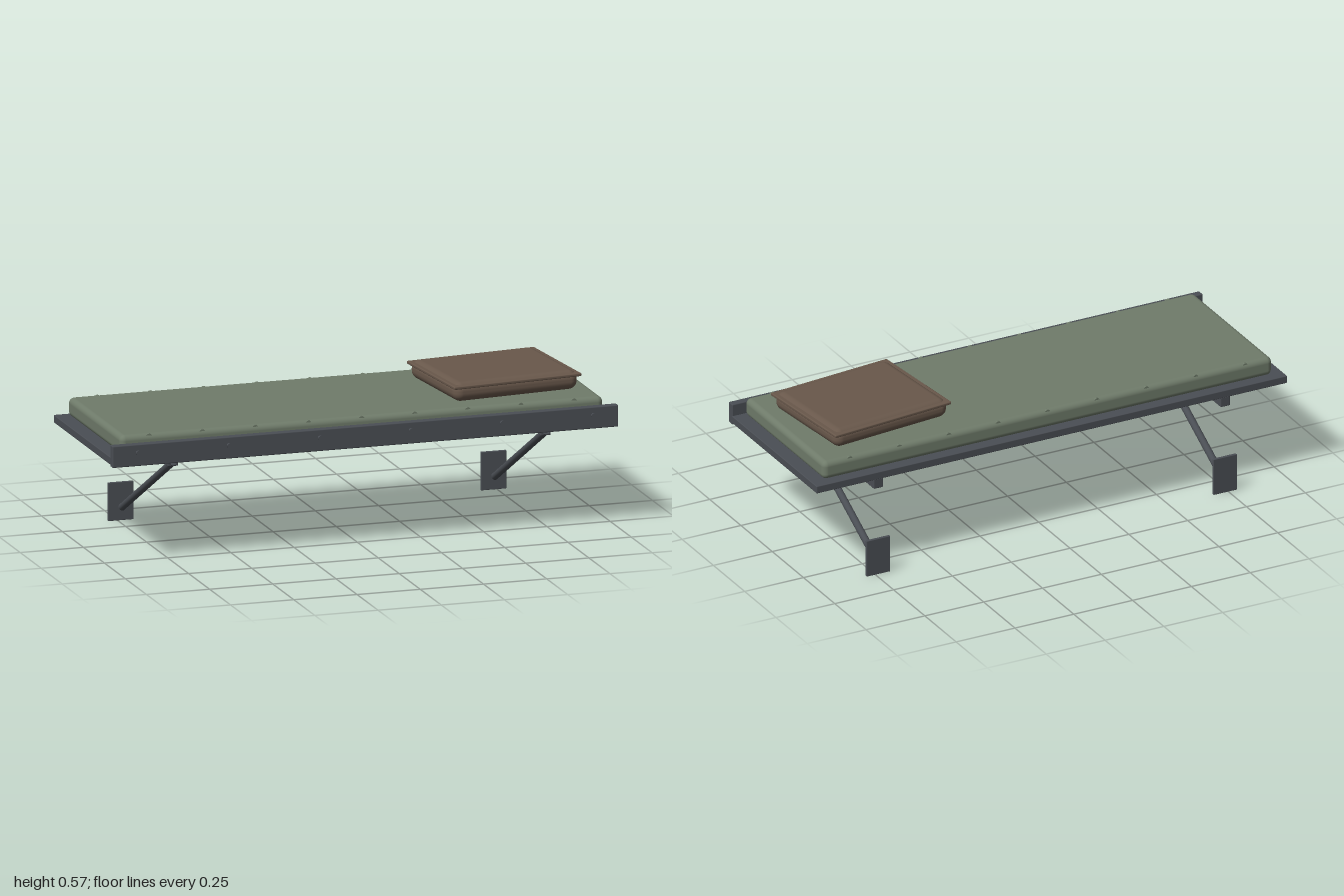
import * as THREE from 'three';
import { RoundedBoxGeometry } from 'three/addons/geometries/RoundedBoxGeometry.js';

function material(name, color) {
  const m = new THREE.MeshStandardMaterial({ color });
  m.name = name;
  return m;
}

export function createModel() {
  const steel = material('dark steel', 0x4a4e54);
  const fabric = material('green fabric', 0x6f7b6a);
  const brown = material('brown cloth', 0x69584b);

  const group = new THREE.Group();
  group.name = 'wallBunk';

  function add(name, geometry, mat, x, y, z, parent = group) {
    const mesh = new THREE.Mesh(geometry, mat);
    mesh.name = name;
    mesh.position.set(x, y, z);
    parent.add(mesh);
    return mesh;
  }

  // Box with softened edges, given by its limits in y and z
  function block(name, mat, x, width, y0, y1, z0, z1, radius, parent = group, segments = 2) {
    const geometry = new RoundedBoxGeometry(width, y1 - y0, z1 - z0, segments, radius);
    return add(name, geometry, mat, x, (y0 + y1) / 2, (z0 + z1) / 2, parent);
  }

  // Base panel and front lip
  block('basePanel', steel, 0, 2, 0.397, 0.427, -0.356, 0.325, 0.003);
  block('frontLip', steel, 0, 2, 0.391, 0.475, 0.319, 0.349, 0.004);

  // Bolts along the lip
  for (let i = 0; i < 6; i++) {
    const bolt = add('lipBolt', new THREE.CylinderGeometry(0.009, 0.009, 0.012, 12), steel,
      -0.9 + i * 0.36, 0.443, 0.351);
    bolt.rotation.x = Math.PI / 2;
  }

  // Mattress with stitched cross seams showing at its long edges
  block('mattress', fabric, 0, 1.91, 0.427, 0.501, -0.326, 0.307, 0.022, group, 5);
  for (let i = -4; i <= 4; i++) {
    const seam = add('mattressSeam', new THREE.CylinderGeometry(0.012, 0.012, 0.622, 12), fabric,
      i * 0.21, 0.489, -0.0095);
    seam.rotation.x = Math.PI / 2;
  }

  // Pillow with a flat hem, turned slightly
  const pillow = new THREE.Group();
  pillow.name = 'pillow';
  pillow.position.set(0.628, 0, -0.011);
  pillow.rotation.y = 0.1;
  group.add(pillow);
  block('pillowBody', brown, 0, 0.51, 0.5, 0.574, -0.215, 0.215, 0.034, pillow, 6);
  block('pillowHem', brown, 0, 0.523, 0.553, 0.565, -0.22, 0.22, 0.004, pillow);

  // Wall brackets: arm under the panel, diagonal strut and wall plate
  const top = new THREE.Vector3(0, 0.377, 0.275);
  const foot = new THREE.Vector3(0, 0.054, -0.333);
  const along = foot.clone().sub(top);
  for (const side of [-1, 1]) {
    const bracket = new THREE.Group();
    bracket.name = side > 0 ? 'leftBracket' : 'rightBracket';
    bracket.position.x = side * 0.737;
    group.add(bracket);
    block('bracketArm', steel, 0, 0.04, 0.36, 0.4, -0.356, 0.275, 0.003, bracket);
    block('wallPlate', steel, 0, 0.1, 0, 0.148, -0.356, -0.344, 0.002, bracket);
    const strut = add('strut', new THREE.CylinderGeometry(0.014, 0.014, along.length(), 16), steel,
      0, (top.y + foot.y) / 2, (top.z + foot.z) / 2, bracket);
    strut.quaternion.setFromUnitVectors(new THREE.Vector3(0, 1, 0), along.clone().normalize());
  }

  return group;
}
